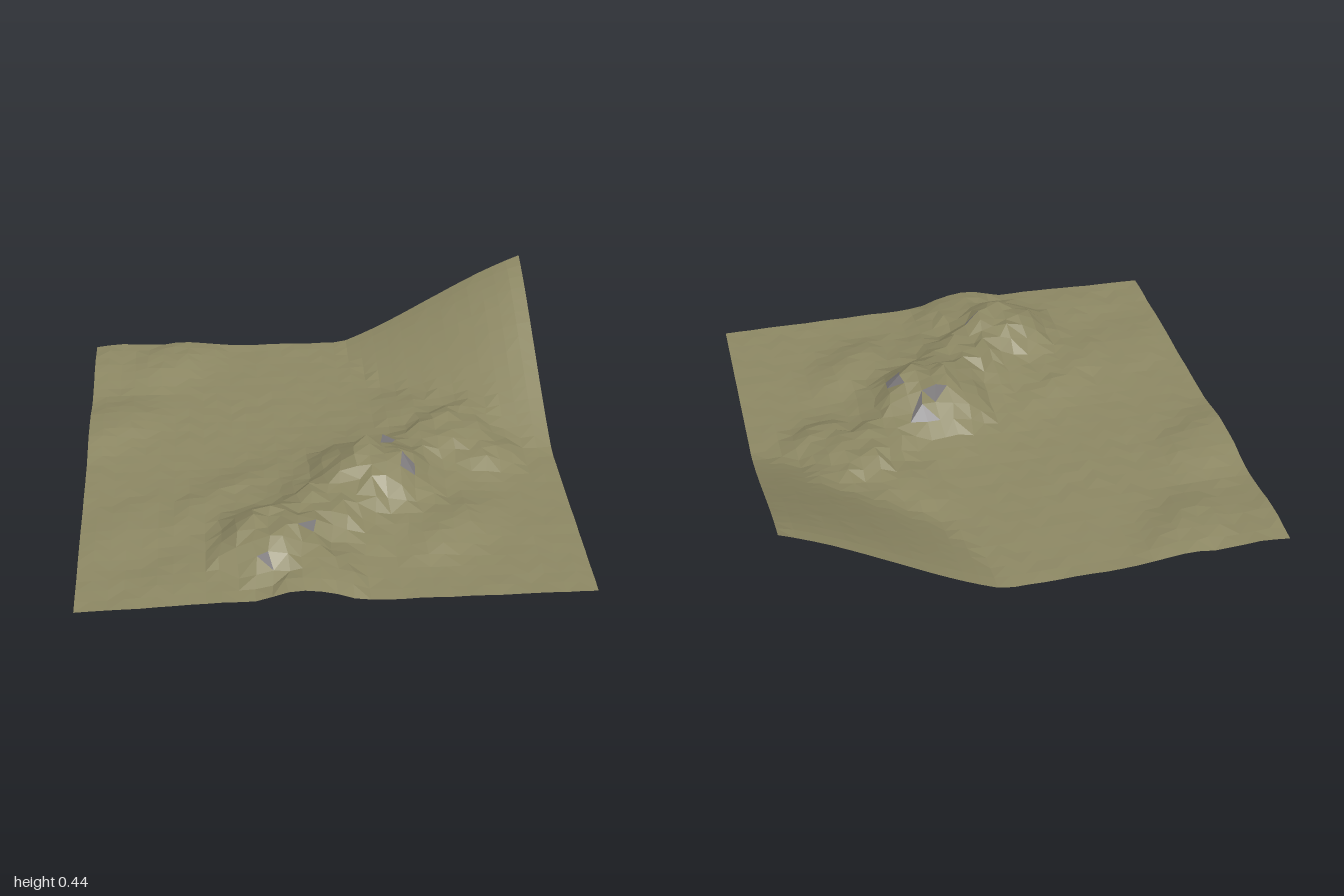
import * as THREE from 'three';

const SEGMENTS = 32;

// Mounds: x, z, height, radius along the ridge, radius across it
const MOUNDS = [
  [-0.23, 0.66, 0.146, 0.18, 0.19],
  [0.2, 0.22, 0.176, 0.19, 0.2],
  [-0.02, 0.46, 0.115, 0.25, 0.17],
  [0.05, 0.38, 0.05, 0.65, 0.3],
  [0.57, -0.13, 0.088, 0.2, 0.15],
  [0.47, -0.3, 0.045, 0.16, 0.17],
  [0.4, 0.03, 0.08, 0.18, 0.13],
  [0.68, 0.03, 0.065, 0.14, 0.12],
  [-0.08, 0.89, 0.07, 0.19, 0.12],
  [0.47, 0.55, 0.045, 0.2, 0.13],
  [-0.42, 0.33, 0.035, 0.3, 0.13],
  [-0.64, -0.85, 0.04, 0.2, 0.13],
  [-0.92, -0.9, 0.027, 0.25, 0.15],
  [-0.9, -0.3, 0.033, 0.2, 0.13],
  [-0.78, 0.45, 0.015, 0.25, 0.12],
  [-0.55, 0.78, 0.02, 0.22, 0.12],
];

// Repeatable value in -1..1 for a grid position
function jitter(x, z, seed) {
  const s = Math.sin(x * 127.1 + z * 311.7 + seed * 74.7) * 43758.5453;
  return (s - Math.floor(s)) * 2 - 1;
}

// Height of the blended flat-topped mounds, all stretched along the diagonal
function moundHeight(x, z) {
  let sum = 0;
  for (const [mx, mz, h, along, across] of MOUNDS) {
    const u = (x - mx - (z - mz)) * Math.SQRT1_2 / along;
    const v = (x - mx + (z - mz)) * Math.SQRT1_2 / across;
    sum += (h * Math.exp(-0.55 * Math.pow(u * u + v * v, 1.6))) ** 4;
  }
  return sum ** 0.25;
}

// Rounded hillside rising to the back corner, easing in at its foot
function hillHeight(x, z) {
  const reach = (((1 - x) / 0.84) ** 1.5 + ((z + 1) / 1.04) ** 1.5) ** (1 / 1.5);
  const t = Math.max(0, 1 - reach);
  return 0.44 * (0.75 * t + 0.25 * t * t * (3 - 2 * t));
}

function heightAt(x, z) {
  const mound = moundHeight(x, z);
  const hill = hillHeight(x, z);
  // Ledges along the ridge and slight roughness on the ground
  const ledges = Math.sin((x + z) * 26 - 0.6 + Math.sin((x - z) * 5)) * 0.08 * mound;
  const rough = 0.002 * (1 + jitter(x, z, 1)) + 0.04 * mound * jitter(x, z, 2);
  return Math.hypot(mound + ledges + rough, hill) + 0.004 * hill * jitter(x, z, 5);
}

function terrainPoint(i, j) {
  const x = -1 + (2 * i) / SEGMENTS;
  const z = -1 + (2 * j) / SEGMENTS;
  // Shift the mound points sideways for craggy edges; borders stay straight
  const inside = i > 0 && j > 0 && i < SEGMENTS && j < SEGMENTS;
  const shift = inside && moundHeight(x, z) > 0.03 ? 0.012 : 0;
  return new THREE.Vector3(
    x + shift * jitter(x, z, 3), heightAt(x, z), z + shift * jitter(x, z, 4)
  );
}

function surface(name, points, color) {
  const mesh = new THREE.Mesh(
    new THREE.BufferGeometry().setFromPoints(points),
    new THREE.MeshStandardMaterial({ color, flatShading: true, side: THREE.DoubleSide })
  );
  mesh.geometry.computeVertexNormals();
  mesh.name = name;
  return mesh;
}

export function createModel() {
  const ground = [];
  const rock = [];
  const normal = new THREE.Vector3();

  // Steep triangles become bare rock, the rest is ground
  const addTriangle = (a, b, c) => {
    new THREE.Triangle(a, b, c).getNormal(normal);
    (normal.y < 0.71 ? rock : ground).push(a, b, c);
  };

  // Alternate the diagonals by column for zigzag ledges
  for (let j = 0; j < SEGMENTS; j++) {
    for (let i = 0; i < SEGMENTS; i++) {
      const a = terrainPoint(i, j);
      const b = terrainPoint(i, j + 1);
      const c = terrainPoint(i + 1, j + 1);
      const d = terrainPoint(i + 1, j);
      if (i % 2) {
        addTriangle(a, b, c);
        addTriangle(a, c, d);
      } else {
        addTriangle(a, b, d);
        addTriangle(b, c, d);
      }
    }
  }

  const group = new THREE.Group();
  group.name = 'terrain';
  group.add(surface('ground', ground, 0x8c8763));
  group.add(surface('rockFaces', rock, 0x7d7a7c));
  return group;
}
